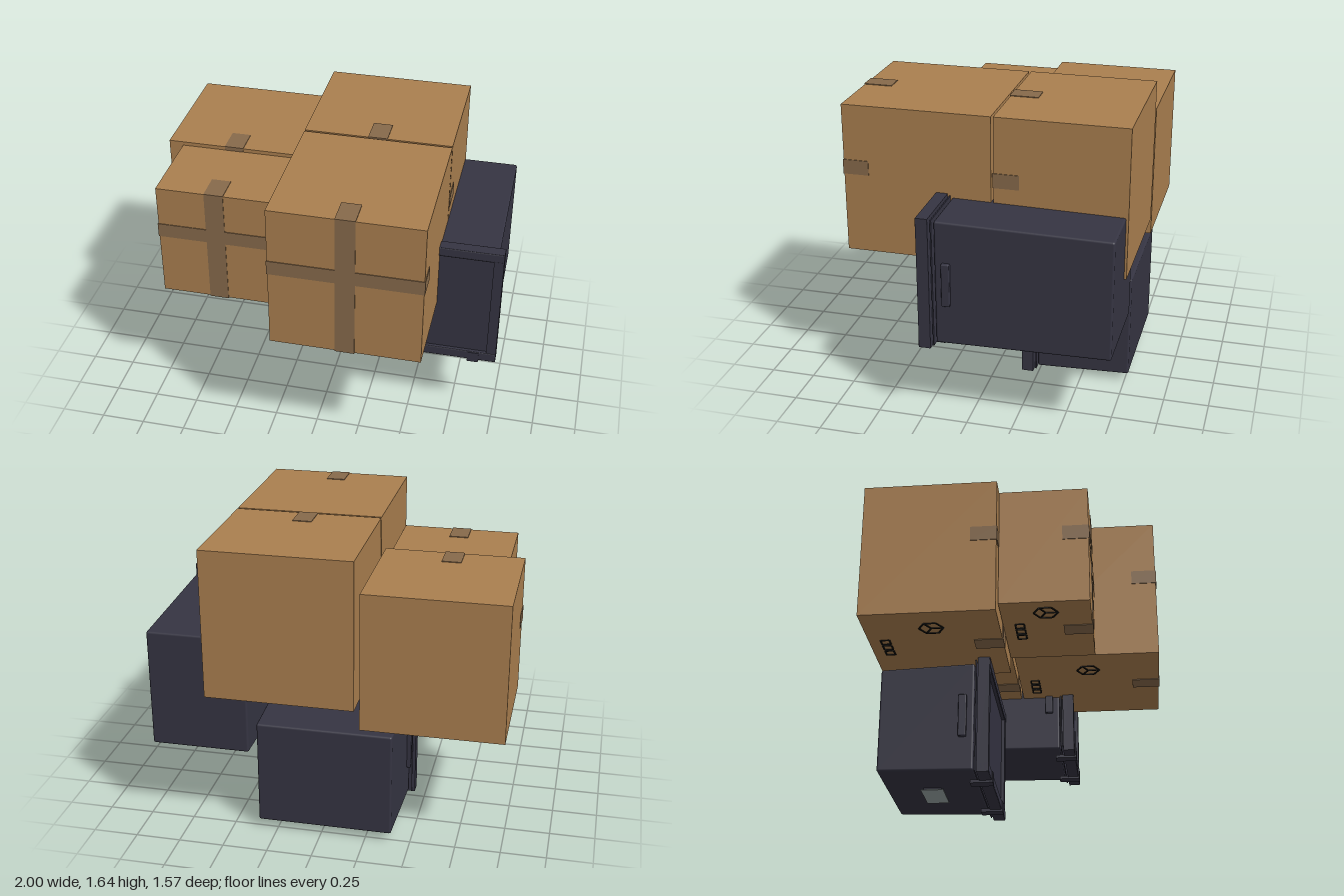
import * as THREE from 'three';
import { RoundedBoxGeometry } from 'three/addons/geometries/RoundedBoxGeometry.js';

const paint = (name, color) => {
  const m = new THREE.MeshStandardMaterial({ color });
  m.name = name;
  return m;
};

export function createModel() {
  const cardboard = paint('cardboard', 0xaa7f4f);
  const tape = paint('packing tape', 0x876a4b);
  const plastic = paint('dark plastic', 0x353442);
  const ink = paint('black ink', 0x15130f);
  const labelGrey = paint('label grey', 0x98a2a3);

  const model = new THREE.Group();
  model.name = 'stackedContainers';

  const group = (name) => {
    const g = new THREE.Group();
    g.name = name;
    model.add(g);
    return g;
  };
  const add = (parent, name, geometry, material) => {
    const mesh = new THREE.Mesh(geometry, material);
    mesh.name = name;
    parent.add(mesh);
    return mesh;
  };
  // Box given by its lower and upper bounds on each axis
  const block = (parent, name, material, x0, x1, y0, y1, z0, z1, radius = 0) => {
    const w = x1 - x0, h = y1 - y0, d = z1 - z0;
    const geo = radius ? new RoundedBoxGeometry(w, h, d, 2, radius) : new THREE.BoxGeometry(w, h, d);
    const mesh = add(parent, name, geo, material);
    mesh.position.set((x0 + x1) / 2, (y0 + y1) / 2, (z0 + z1) / 2);
    return mesh;
  };

  // Printed parcel symbol and handling marks under a carton
  function undersideMarks(g, cx, y, z0, z1) {
    const line = (a, b) => {
      const d = Math.hypot(b[0] - a[0], b[1] - a[1]);
      const m = add(g, 'printedLine', new THREE.BoxGeometry(d, 0.004, 0.009), ink);
      m.position.set((a[0] + b[0]) / 2, y - 0.002, (a[1] + b[1]) / 2);
      m.rotation.y = -Math.atan2(b[1] - a[1], b[0] - a[0]);
    };
    const c = [cx - 0.21, (z0 + z1) / 2];
    const hex = [...Array(6)].map((_, i) => {
      const t = (i + 0.5) * Math.PI / 3;
      return [c[0] + 0.065 * Math.cos(t), c[1] + 0.065 * Math.sin(t)];
    });
    hex.forEach((p, i) => {
      line(p, hex[(i + 1) % 6]);
      if (i % 2) line(c, p);
    });
    for (const i of [-1, 0, 1]) {
      const x = cx + i * 0.065, z = z0 + 0.09, r = 0.024;
      const q = [[x - r, z - r], [x + r, z - r], [x + r, z + r], [x - r, z + r]];
      q.forEach((p, k) => line(p, q[(k + 1) % 4]));
    }
  }

  // Cardboard carton with a cross of tape that folds over the front edges
  function carton(name, x0, x1, y0, y1, z0, z1, tx, ty) {
    const g = group(name);
    const e = 0.004, hw = 0.054, hh = 0.041, fold = 0.155;
    block(g, 'cartonBody', cardboard, x0, x1, y0, y1, z0, z1);
    block(g, 'verticalTape', tape, tx - hw, tx + hw, y0 - e, y1 + e, z1, z1 + e);
    block(g, 'horizontalTape', tape, x0 - e, x1 + e, ty - hh, ty + hh, z1, z1 + e);
    block(g, 'topTape', tape, tx - hw, tx + hw, y1, y1 + e, z1 - fold, z1);
    block(g, 'bottomTape', tape, tx - hw, tx + hw, y0 - e, y0, z1 - fold, z1);
    block(g, 'leftTape', tape, x1, x1 + e, ty - hh, ty + hh, z1 - fold + 0.015, z1);
    block(g, 'rightTape', tape, x0 - e, x0, ty - hh, ty + hh, z1 - fold + 0.015, z1);
    undersideMarks(g, (x0 + x1) / 2, y0, z0, z1);
  }
  carton('largeFrontCarton', -0.19, 0.64, 0.79, 1.633, -0.045, 0.78, 0.225, 1.28);
  carton('largeBackCarton', -0.19, 0.64, 0.79, 1.633, -0.785, -0.058, 0.225, 1.28);
  carton('smallBackCarton', -0.997, -0.22, 0.683, 1.46, -0.785, -0.063, -0.61, 1.14);
  carton('smallFrontCarton', -0.915, -0.25, 0.76, 1.44, -0.06, 0.42, -0.585, 1.17);

  // Rectangle outline used for the lid and its opening
  const rect = (Type, w, h) => new Type([[-1, -1], [1, -1], [1, 1], [-1, 1]]
    .map(([a, b]) => new THREE.Vector2(a * w / 2, b * h / 2)));

  // Plastic bin lying on its side, with a recessed lid facing forward
  function bin(name, cx, y0, w, h, zBack, zLid) {
    const g = group(name);
    const x0 = cx - w / 2, x1 = cx + w / 2, y1 = y0 + h, cy = (y0 + y1) / 2;
    const zBody = zLid - 0.09;

    // Body narrows slightly toward the back
    const bw = w - 0.065, bh = h - 0.045, depth = zBody - zBack;
    const geo = new RoundedBoxGeometry(bw, bh, depth, 2, 0.012);
    const p = geo.attributes.position;
    for (let i = 0; i < p.count; i++) {
      const t = 0.5 - p.getZ(i) / depth;
      p.setX(i, p.getX(i) * (1 - 0.03 * t));
      p.setY(i, p.getY(i) * (1 - 0.045 * t));
    }
    add(g, 'binBody', geo, plastic).position.set(cx, cy, (zBody + zBack) / 2);

    // Seal and rim between body and lid
    block(g, 'rimPlate', plastic, x0 + 0.016, x1 - 0.016, y0 + 0.011, y1 - 0.011, zLid - 0.084, zLid - 0.077);
    block(g, 'rimCore', plastic, x0 + 0.07, x1 - 0.07, y0 + 0.07, y1 - 0.07, zBody - 0.01, zLid - 0.06);

    // Lid frame and recessed panel
    const frame = rect(THREE.Shape, w, h);
    frame.holes.push(rect(THREE.Path, w - 0.11, h - 0.11));
    add(g, 'lidFrame', new THREE.ExtrudeGeometry(frame, { depth: 0.065, bevelEnabled: false }), plastic)
      .position.set(cx, cy, zLid - 0.068);
    block(g, 'lidPanel', plastic, x0 + 0.05, x1 - 0.05, y0 + 0.05, y1 - 0.05, zLid - 0.065, zLid - 0.022);
    block(g, 'lidTopRail', plastic, x0, x1, y1 - 0.052, y1, zLid - 0.068, zLid, 0.006);
    block(g, 'lidBottomRail', plastic, x0, x1, y0, y0 + 0.055, zLid - 0.068, zLid, 0.006);

    for (const s of [-1, 1]) {
      // Clips along the long edges
      const lx = cx + s * w * 0.296;
      block(g, 'bottomClip', plastic, lx - 0.032, lx + 0.032, y0 - 0.012, y0 + 0.007, zLid - 0.12, zLid + 0.005);
      block(g, 'clipFace', plastic, lx - 0.032, lx + 0.032, y0 - 0.012, y0 + 0.052, zLid - 0.05, zLid + 0.005);
      // Side grips
      const hx = cx + s * (bw / 2 + 0.006);
      block(g, 'sideGrip', plastic, hx - 0.016, hx + 0.016, cy - 0.122, cy + 0.122, zLid - 0.175, zLid - 0.13, 0.006);
    }

    // Label underneath
    const zc = (zBack + zBody) / 2;
    block(g, 'bottomLabel', labelGrey, cx - 0.115, cx + 0.115, y0 + 0.013, y0 + 0.018, zc - 0.063, zc + 0.063);
    block(g, 'labelMount', plastic, cx - 0.1, cx + 0.1, y0 + 0.018, y0 + 0.045, zc - 0.05, zc + 0.05);
  }
  bin('lowerBin', -0.02, 0.012, 0.84, 0.673, -0.772, -0.155);
  bin('upperBin', 0.68, 0.43, 0.634, 0.75, -0.772, 0.263);

  return model;
}
